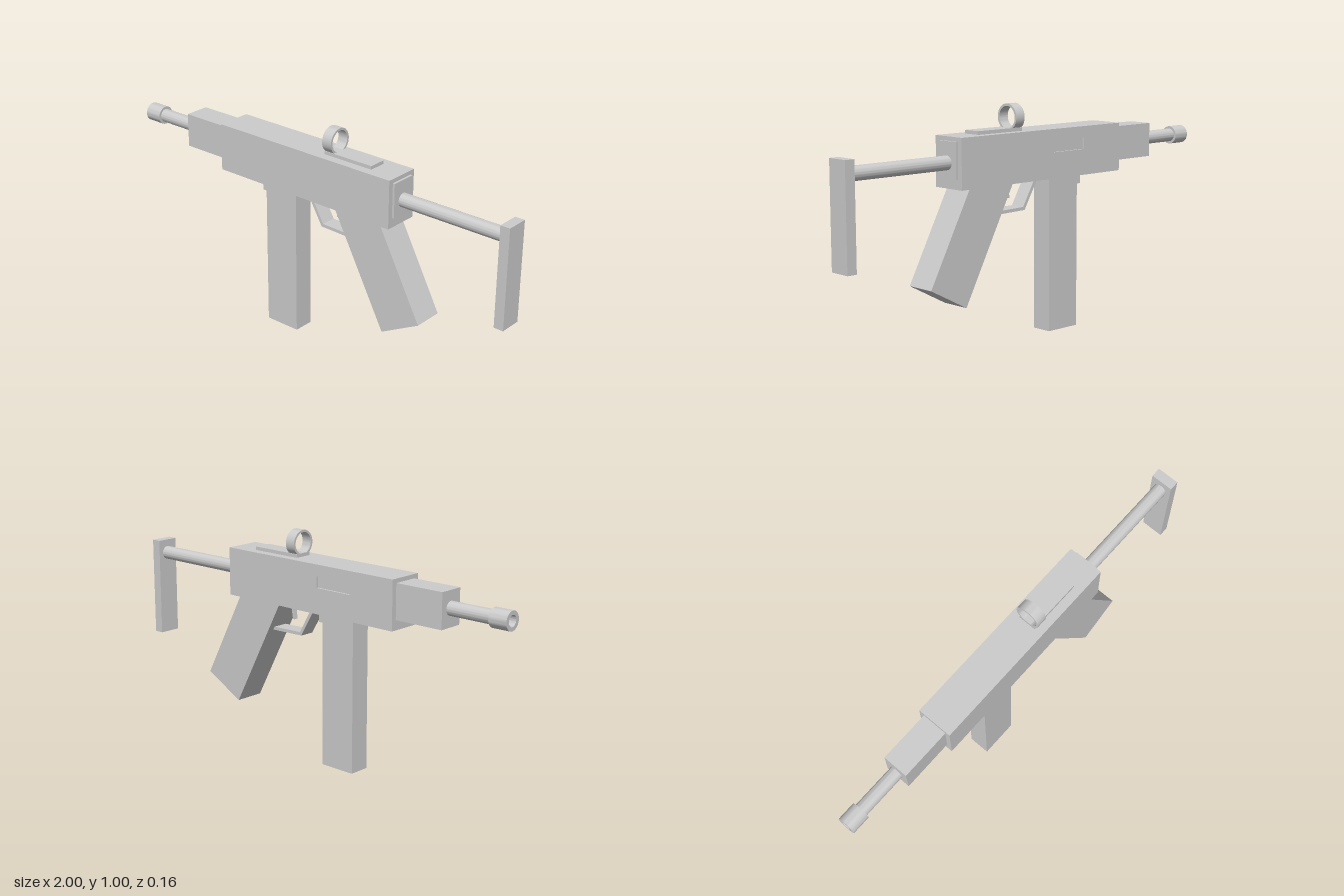
import * as THREE from 'three';
import { toCreasedNormals } from 'three/addons/utils/BufferGeometryUtils.js';

export function createModel() {
  const model = new THREE.Group();
  const material = new THREE.MeshStandardMaterial({ color: 0xcccccc });

  function add(name, geometry) {
    const mesh = new THREE.Mesh(geometry, material);
    mesh.name = name;
    model.add(mesh);
    return mesh;
  }

  // Box given by its limits along each axis
  function box(name, x0, x1, y0, y1, z0, z1) {
    const g = new THREE.BoxGeometry(x1 - x0, y1 - y0, z1 - z0);
    g.translate((x0 + x1) / 2, (y0 + y1) / 2, (z0 + z1) / 2);
    return add(name, g);
  }

  // Turned part whose axis runs along x; profile is [radius, distance towards -x]
  function turned(name, profile, y) {
    const points = profile.map(([r, d]) => new THREE.Vector2(r, d));
    const g = new THREE.LatheGeometry(points, 36);
    g.rotateZ(Math.PI / 2);
    g.translate(0, y, 0);
    return add(name, toCreasedNormals(g, 0.6));
  }

  // Side outline extruded across z
  function slab(name, outline, z0, z1, hole) {
    const toPoints = (list) => list.map(([x, y]) => new THREE.Vector2(x, y));
    const shape = new THREE.Shape(toPoints(outline));
    if (hole) shape.holes.push(new THREE.Path(toPoints(hole)));
    const g = new THREE.ExtrudeGeometry(shape, { depth: z1 - z0, bevelEnabled: false });
    g.translate(0, 0, z0);
    return add(name, g);
  }

  const rect = (x0, x1, y0, y1) => [[x0, y0], [x1, y0], [x1, y1], [x0, y1]];

  // Receiver, with a shallow port let into its back side
  box('receiver', -0.48, 0.45, 0.677, 0.89, -0.07, 0.08);
  slab('receiverPortSide', rect(-0.48, 0.45, 0.677, 0.89), -0.08, -0.07,
    rect(-0.255, -0.07, 0.79, 0.84));
  box('handguard', -0.71, -0.48, 0.72, 0.872, -0.057, 0.057);
  box('rearPlate', 0.45, 0.46, 0.72, 0.872, -0.057, 0.057);

  // Barrel and hollow muzzle
  turned('barrel', [[0.03, 0.7], [0.03, 0.93], [0, 0.93]], 0.798);
  turned('muzzle', [[0.028, 0.917], [0.041, 0.917], [0.041, 1], [0.024, 1], [0.024, 0.925], [0, 0.925]], 0.798);

  // Stock
  turned('stockRod', [[0.03, -0.96], [0.03, -0.455]], 0.784);
  box('buttPlate', 0.956, 1, 0.403, 0.845, -0.05, 0.05);

  // Magazine and its collar
  box('magazineCollar', -0.255, -0.065, 0.638, 0.677, -0.057, 0.057);
  box('magazine', -0.245, -0.075, 0, 0.638, -0.047, 0.047);

  // Raked grip
  slab('grip', [[0.42, 0.188], [0.606, 0.287], [0.394, 0.685], [0.155, 0.685]], -0.068, 0.068);

  // Trigger guard strip and trigger
  slab('triggerGuard', [
    [-0.016, 0.68], [0.06, 0.551], [0.24, 0.547],
    [0.24, 0.561], [0.068, 0.565], [0.001, 0.68],
  ], -0.035, 0.035);
  slab('trigger', [
    [0.124, 0.607], [0.133, 0.607], [0.139, 0.645], [0.148, 0.68],
    [0.132, 0.68], [0.129, 0.645],
  ], -0.01, 0.01);

  // Sight rail and ring
  box('sightRail', 0.08, 0.326, 0.89, 0.905, -0.04, 0.04);
  turned('sightRing', [
    [0.047, -0.128], [0.057, -0.128], [0.057, -0.08], [0.047, -0.08], [0.047, -0.128],
  ], 0.948);

  return model;
}
